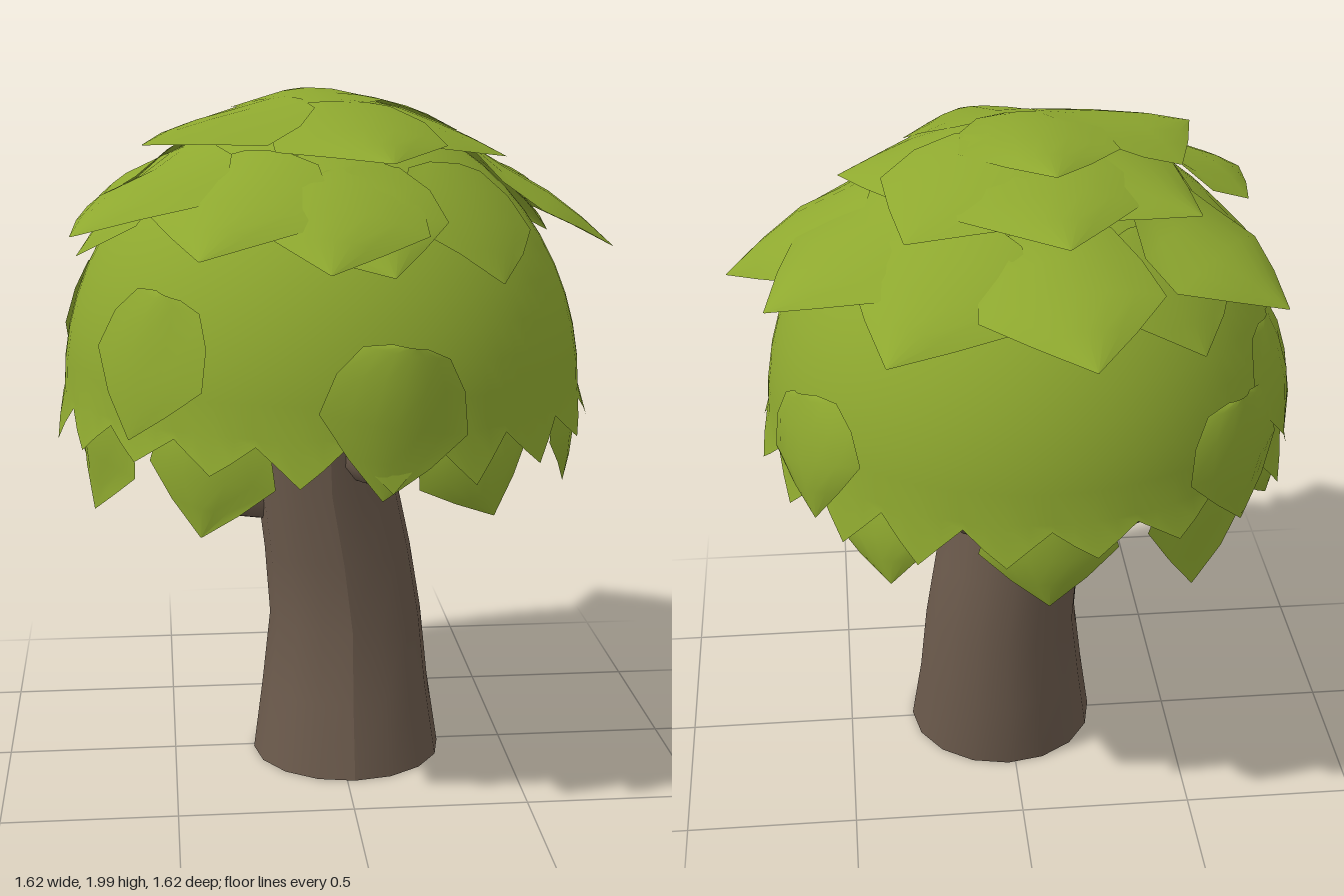
import * as THREE from 'three';
import { mergeVertices } from 'three/addons/utils/BufferGeometryUtils.js';

const leafGreen = new THREE.MeshStandardMaterial({ color: 0x8ea82f, side: THREE.DoubleSide });
leafGreen.name = 'leaf green';
const shadeGreen = new THREE.MeshStandardMaterial({ color: 0x4a5620 });
shadeGreen.name = 'inner canopy dark green';
const bark = new THREE.MeshStandardMaterial({ color: 0x6a594b });
bark.name = 'bark brown';

// Canopy dome: an upper half ellipsoid
const centre = new THREE.Vector3(-0.05, 1.15, 0.01);
const radii = new THREE.Vector3(0.75, 0.8, 0.75);

function part(name, geometry, material) {
  const mesh = new THREE.Mesh(geometry, material);
  mesh.name = name;
  return mesh;
}

// Bent trunk: a cylinder whose rings, 0.21 apart, follow [minX, maxX, minZ, maxZ]
function trunk() {
  const rings = [
    [-0.26, 0.305, -0.27, 0.305], [-0.23, 0.275, -0.27, 0.25], [-0.205, 0.255, -0.26, 0.205],
    [-0.22, 0.22, -0.24, 0.2], [-0.245, 0.175, -0.22, 0.195], [-0.255, 0.17, -0.21, 0.2],
    [-0.27, 0.17, -0.21, 0.21],
  ];
  const geometry = new THREE.CylinderGeometry(1, 1, 1.26, 16, 6);
  geometry.translate(0, 0.63, 0);
  const p = geometry.attributes.position;
  for (let i = 0; i < p.count; i++) {
    const [x0, x1, z0, z1] = rings[Math.round(p.getY(i) / 0.21)];
    p.setX(i, (x0 + x1) / 2 + p.getX(i) * (x1 - x0) / 2);
    p.setZ(i, (z0 + z1) / 2 + p.getZ(i) * (z1 - z0) / 2);
  }
  geometry.computeVertexNormals();
  return part('trunk', geometry, bark);
}

// A branch leaves the trunk at height y and bends up to stand at (x, z)
function branch(name, radius, x, y, z) {
  const curve = new THREE.CatmullRomCurve3([
    new THREE.Vector3(x * 0.3, y, z * 0.3),
    new THREE.Vector3(x * 0.72, y + 0.01, z * 0.72),
    new THREE.Vector3(x * 0.95, y + 0.08, z * 0.95),
    new THREE.Vector3(x, y + 0.2, z),
    new THREE.Vector3(x, 1.28, z),
  ]);
  return part(name, new THREE.TubeGeometry(curve, 14, radius, 10), bark);
}

// Dome with a toothed, slightly flared hem
function dome() {
  const profile = [new THREE.Vector2(0.755, 1.05)];
  for (let i = 0; i <= 14; i++) {
    const a = (i / 14) * Math.PI / 2;
    profile.push(new THREE.Vector2(Math.max(0.0001, radii.x * Math.cos(a)), centre.y + radii.y * Math.sin(a)));
  }
  const teeth = 20;
  const geometry = new THREE.LatheGeometry(profile, teeth * 4);
  const p = geometry.attributes.position;
  for (let i = 0; i < p.count; i++) {
    if (p.getY(i) > 1.06) continue;
    const turn = Math.atan2(p.getZ(i), p.getX(i)) / (2 * Math.PI) + 1;
    const tooth = 1 - Math.abs(2 * ((turn * teeth) % 1) - 1);
    const drop = 0.1 - 0.025 * Math.sin(turn * 6 * Math.PI + 1);
    const flare = 1 + 0.03 * tooth;
    p.setXYZ(i, p.getX(i) * flare, 1.13 - drop * tooth, p.getZ(i) * flare);
  }
  geometry.translate(centre.x, 0, centre.z);
  geometry.deleteAttribute('uv');
  geometry.deleteAttribute('normal');
  const merged = mergeVertices(geometry, 1e-4);
  merged.computeVertexNormals();
  return part('canopyDome', merged, leafGreen);
}

// Shallow hollow inside the canopy, facing down
function underside() {
  const profile = [];
  for (let i = 0; i <= 6; i++) {
    const r = i / 6;
    profile.push(new THREE.Vector2(0.735 * r, 1.29 - 0.14 * r * r));
  }
  const geometry = new THREE.LatheGeometry(profile, 40);
  geometry.translate(centre.x, 0, centre.z);
  return part('canopyUnderside', geometry, shadeGreen);
}

// Keep a leaf point outside the dome, grown by lift
function pushOut(point, lift) {
  const q = point.clone().sub(centre).divide(radii);
  const y = q.y;
  q.y = Math.max(y, 0);
  const length = q.length();
  if (length < 1 + lift) q.multiplyScalar((1 + lift) / Math.max(length, 0.01));
  if (y < 0) q.y = y;
  return q.multiply(radii).add(centre);
}

// Broad angular leaf draped from its base to its tip
function leaf(name, base, tip, width, lift) {
  const outline = [[0, 0.12], [0.05, 0.3], [0.25, 0.44], [0.52, 0.5], [0.76, 0.27], [1, 0.005]];
  const columns = 6;
  const along = tip.clone().sub(base);
  const outward = base.clone().lerp(tip, 0.5).sub(centre).divide(radii).divide(radii).normalize();
  const across = along.clone().cross(outward).normalize();
  const normal = across.clone().cross(along).normalize();
  const positions = [];
  const index = [];
  outline.forEach(([v, half], row) => {
    for (let c = 0; c <= columns; c++) {
      const u = (c / columns) * 2 - 1;
      const point = base.clone().addScaledVector(along, v)
        .addScaledVector(across, u * half * width)
        .addScaledVector(normal, 0.03 * Math.sin(Math.PI * v) - 0.12 * u * u * half);
      positions.push(...pushOut(point, lift + 0.015 * v).toArray());
      if (row && c) {
        const d = row * (columns + 1) + c;
        const b = d - columns - 1;
        index.push(b - 1, d, b, b - 1, d - 1, d);
      }
    }
  });
  const geometry = new THREE.BufferGeometry();
  geometry.setAttribute('position', new THREE.Float32BufferAttribute(positions, 3));
  geometry.setIndex(index);
  geometry.computeVertexNormals();
  return part(name, geometry, leafGreen);
}

// A ring of leaves at the given angles; from and to are [radius, height] of base and tip
function leafRow(name, angles, from, to, width, lift) {
  const row = new THREE.Group();
  row.name = name;
  const at = (degrees, r, y) => {
    const a = THREE.MathUtils.degToRad(degrees);
    return new THREE.Vector3(centre.x + r * Math.cos(a), y, centre.z + r * Math.sin(a));
  };
  angles.forEach((angle, i) => {
    const vary = ((i * 2) % 5 - 2) / 2;
    const base = at(angle + 6 * vary, ...from);
    const tip = at(angle, to[0] + 0.03 * vary, to[1] + 0.03 * vary);
    row.add(leaf('leaf', base, tip, width, lift + (i % 3) * 0.006));
  });
  return row;
}

export function createModel() {
  const model = new THREE.Group();
  model.name = 'tree';
  model.add(
    trunk(),
    branch('rightBranch', 0.1, -0.43, 0.81, -0.09),
    branch('backBranch', 0.075, 0.16, 0.92, -0.375),
    branch('frontBranch', 0.08, 0.15, 0.95, 0.32),
    dome(),
    underside(),
    // Leaves hanging from inside the hem
    leafRow('hangingLeaves', [160, 14, 56, 122, 195, 235, 270, 305], [0.71, 1.2], [0.71, 0.87], 0.38, -0.07),
    // Leaves lying on the sides
    leafRow('sideLeaves', [83, 225, 322], [0.76, 1.39], [0.76, 1.02], 0.4, 0.012),
    leafRow('flankLeaves', [137, 203], [0.7, 1.5], [0.77, 1.14], 0.38, 0.012),
    // Overlapping leaves over the top
    leafRow('lowShoulderLeaves', [50, 172, 80, 232, 345], [0.42, 1.79], [0.71, 1.54], 0.44, 0.015),
    leafRow('outerLeaf', [4], [0.42, 1.82], [0.88, 1.57], 0.46, 0.03),
    leafRow('shoulderLeaves', [93, 117, 146, 214, 263, 302, 333], [0.38, 1.83], [0.82, 1.62], 0.5, 0.025),
    leafRow('upperLeaves', [12, 75, 150, 215, 264, 312], [0.1, 1.93], [0.56, 1.84], 0.5, 0.03),
    leaf('crownLeaf', new THREE.Vector3(-0.06, 1.96, 0.15), new THREE.Vector3(-0.1, 1.96, -0.33), 0.44, 0.04),
  );
  return model;
}
